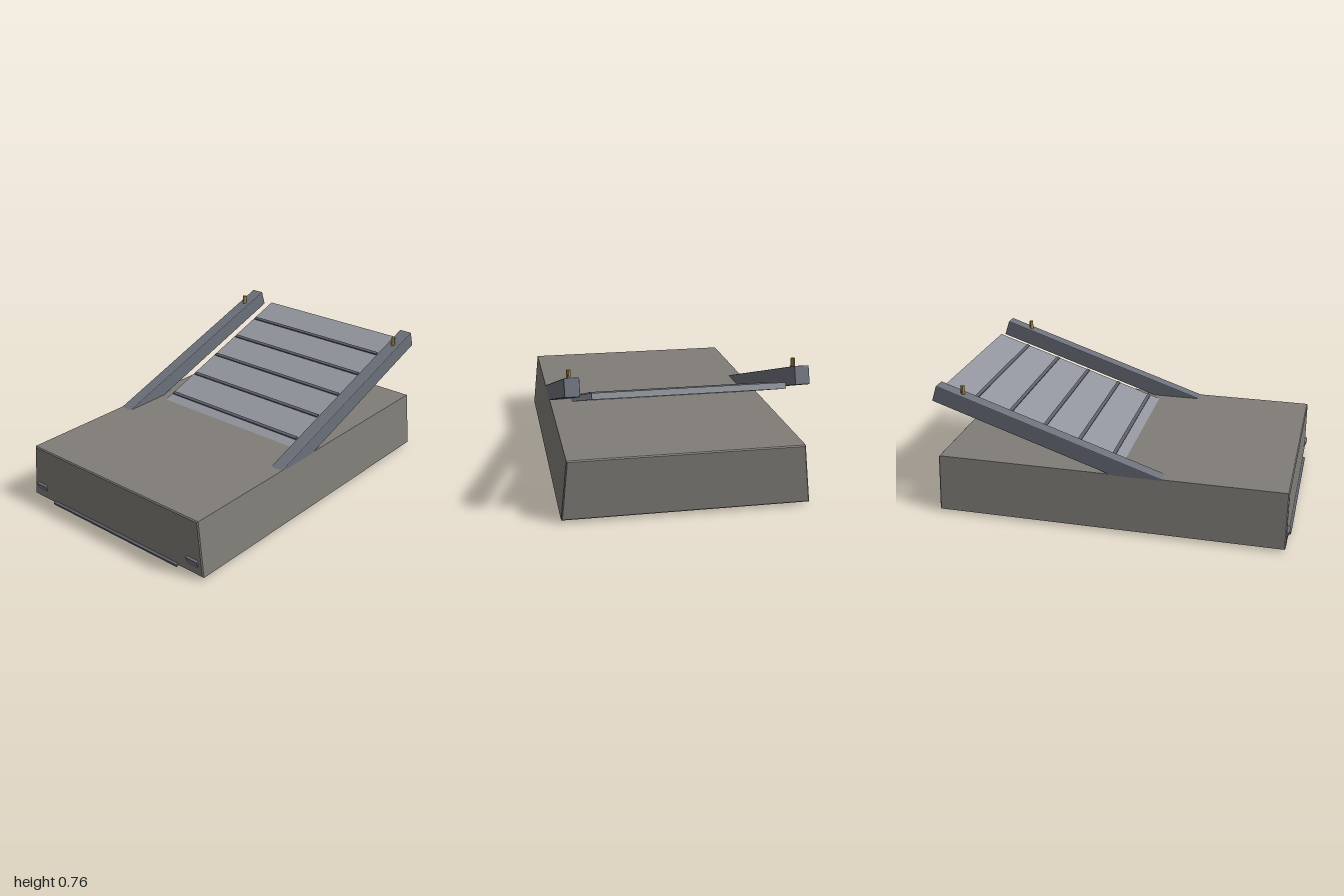
import * as THREE from 'three';
import { RoundedBoxGeometry } from 'three/addons/geometries/RoundedBoxGeometry.js';

const paint = (color) => new THREE.MeshStandardMaterial({ color, flatShading: true });

function add(parent, name, geometry, material, x = 0, y = 0, z = 0) {
  const mesh = new THREE.Mesh(geometry, material);
  mesh.name = name;
  mesh.position.set(x, y, z);
  parent.add(mesh);
  return mesh;
}

export function createModel() {
  const model = new THREE.Group();
  model.name = 'rampOnBlock';
  const stone = paint(0x807d78);
  const railMetal = paint(0x6c717b);
  const panelMetal = paint(0x92959d);
  const ribMetal = paint(0x5c6069);
  const brass = paint(0xa58a4c);

  // Base block: tapered section run front to back, edges slightly bevelled
  const bevel = 0.006;
  const yLow = 0.025 + bevel, yHigh = 0.345 - bevel;
  const section = new THREE.Shape([
    new THREE.Vector2(-0.648, yLow),
    new THREE.Vector2(0.648, yLow),
    new THREE.Vector2(0.615, yHigh),
    new THREE.Vector2(-0.615, yHigh),
  ]);
  const depth = 1.97 - 2 * bevel;
  const block = new THREE.ExtrudeGeometry(section, {
    depth, bevelEnabled: true, bevelSize: bevel, bevelThickness: bevel, bevelSegments: 1,
  });
  block.translate(0, 0, -depth / 2);
  add(model, 'baseBlock', block, stone);

  // Sloping assembly: local z runs along the slope, local y is its normal
  const ramp = new THREE.Group();
  ramp.name = 'ramp';
  ramp.position.set(0, 0.3955, 0.002);
  ramp.rotation.x = Math.atan(0.335);
  model.add(ramp);

  // Panel between the rails, at the level of their undersides
  const panelTop = -0.032, panelThick = 0.032;
  add(ramp, 'panel', new THREE.BoxGeometry(0.98, panelThick, 2.07), panelMetal,
    0, panelTop - panelThick / 2, -0.012);

  // Cross ribs, evenly spaced along the panel
  for (let i = 0; i < 10; i++) {
    add(ramp, 'rib', new THREE.BoxGeometry(0.96, 0.016, 0.02), ribMetal,
      0, panelTop, -0.853 + i * 0.2115);
  }

  // Side rails, each with an upright pin near its upper end
  for (const side of [-1, 1]) {
    add(ramp, 'sideRail', new RoundedBoxGeometry(0.077, 0.096, 2.072, 1, 0.005), railMetal, side * 0.5825);
    add(model, 'pin', new THREE.CylinderGeometry(0.012, 0.012, 0.08, 10), brass, side * 0.5825, 0.73, -0.825);
  }
  return model;
}
